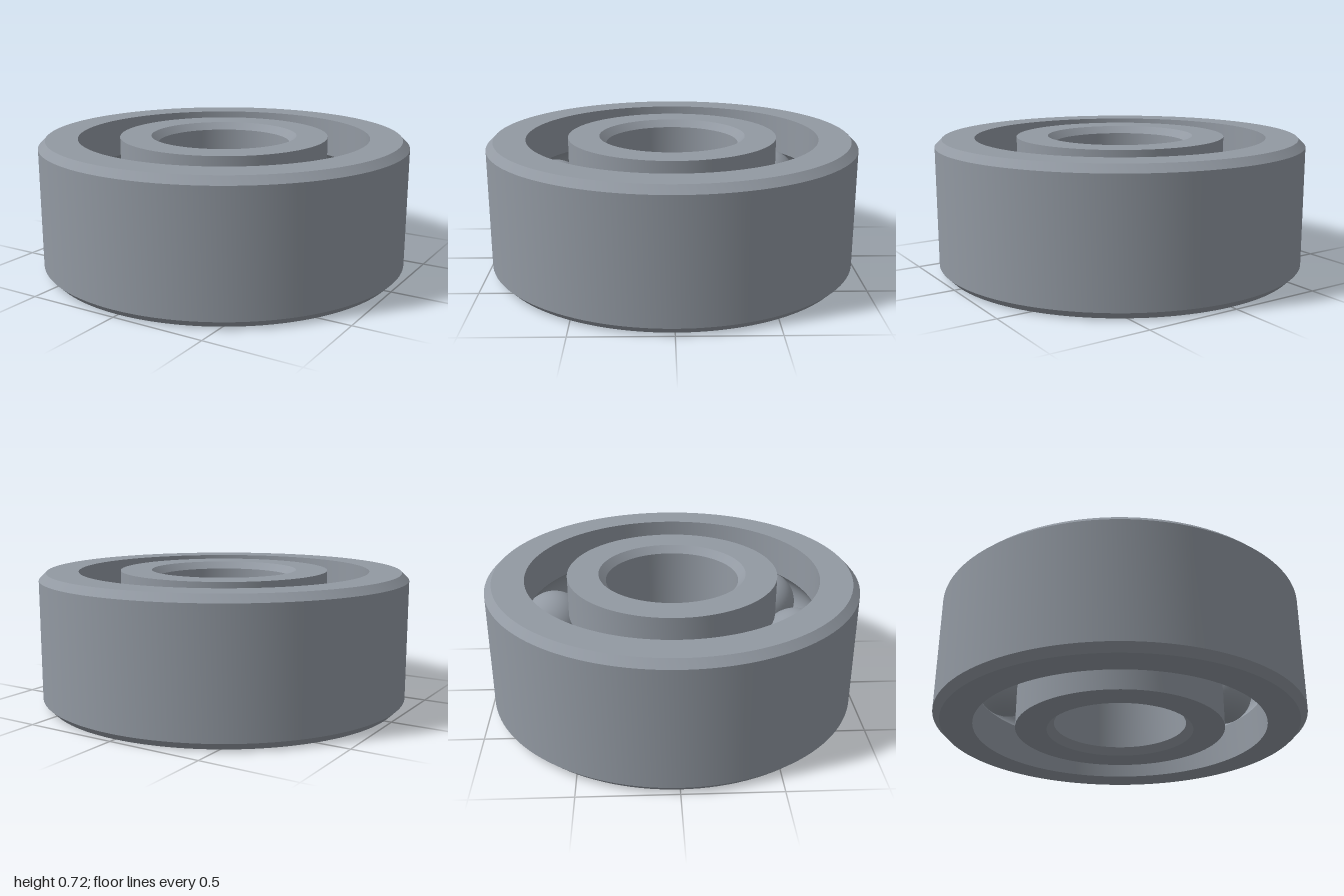
import * as THREE from 'three';
import { toCreasedNormals } from 'three/addons/utils/BufferGeometryUtils.js';

const HEIGHT = 0.716, MID = HEIGHT / 2;
const PITCH = 0.678;          // radius of the circle the balls run on
const BALL = 0.178, GROOVE = 0.18;
const CHAMFER = 0.038;

// Raceway arc around the ball centre, between two angles
function grooveArc(from, to, steps = 14) {
  return Array.from({ length: steps + 1 }, (_, i) => {
    const a = from + (to - from) * i / steps;
    return [PITCH + GROOVE * Math.cos(a), MID + GROOVE * Math.sin(a)];
  });
}

// Closed counter-clockwise [radius, height] profile turned about y
function ring(name, profile, material) {
  const points = [...profile, profile[0]].map(([r, y]) => new THREE.Vector2(r, y));
  const geometry = toCreasedNormals(new THREE.LatheGeometry(points, 128), Math.PI / 6);
  const mesh = new THREE.Mesh(geometry, material);
  mesh.name = name;
  return mesh;
}

export function createModel() {
  const steel = new THREE.MeshStandardMaterial({ color: 0x9299a2 });
  steel.name = 'steel grey';
  const model = new THREE.Group();
  model.name = 'ballBearing';

  // Outer race: chamfered outside, grooved inside
  const outerWall = 0.79;
  const outerAngle = Math.acos((outerWall - PITCH) / GROOVE);
  model.add(ring('outerRace', [
    [outerWall, 0], [1 - CHAMFER, 0], [1, CHAMFER],
    [1, HEIGHT - CHAMFER], [1 - CHAMFER, HEIGHT], [outerWall, HEIGHT],
    ...grooveArc(outerAngle, -outerAngle),
  ], steel));

  // Inner race: grooved outside, chamfered bore
  const innerWall = 0.565, bore = 0.358;
  const innerAngle = Math.acos((innerWall - PITCH) / GROOVE);
  model.add(ring('innerRace', [
    [bore + CHAMFER, 0], [innerWall, 0],
    ...grooveArc(2 * Math.PI - innerAngle, innerAngle),
    [innerWall, HEIGHT], [bore + CHAMFER, HEIGHT],
    [bore, HEIGHT - CHAMFER], [bore, CHAMFER],
  ], steel));

  // Eight balls in the raceway
  const balls = new THREE.Group();
  balls.name = 'balls';
  const ballGeometry = new THREE.SphereGeometry(BALL, 48, 32);
  for (let i = 0; i < 8; i++) {
    const a = THREE.MathUtils.degToRad(11.9 + i * 45);
    const ball = new THREE.Mesh(ballGeometry, steel);
    ball.name = 'ball';
    ball.position.set(PITCH * Math.cos(a), MID, PITCH * Math.sin(a));
    balls.add(ball);
  }
  model.add(balls);
  return model;
}
